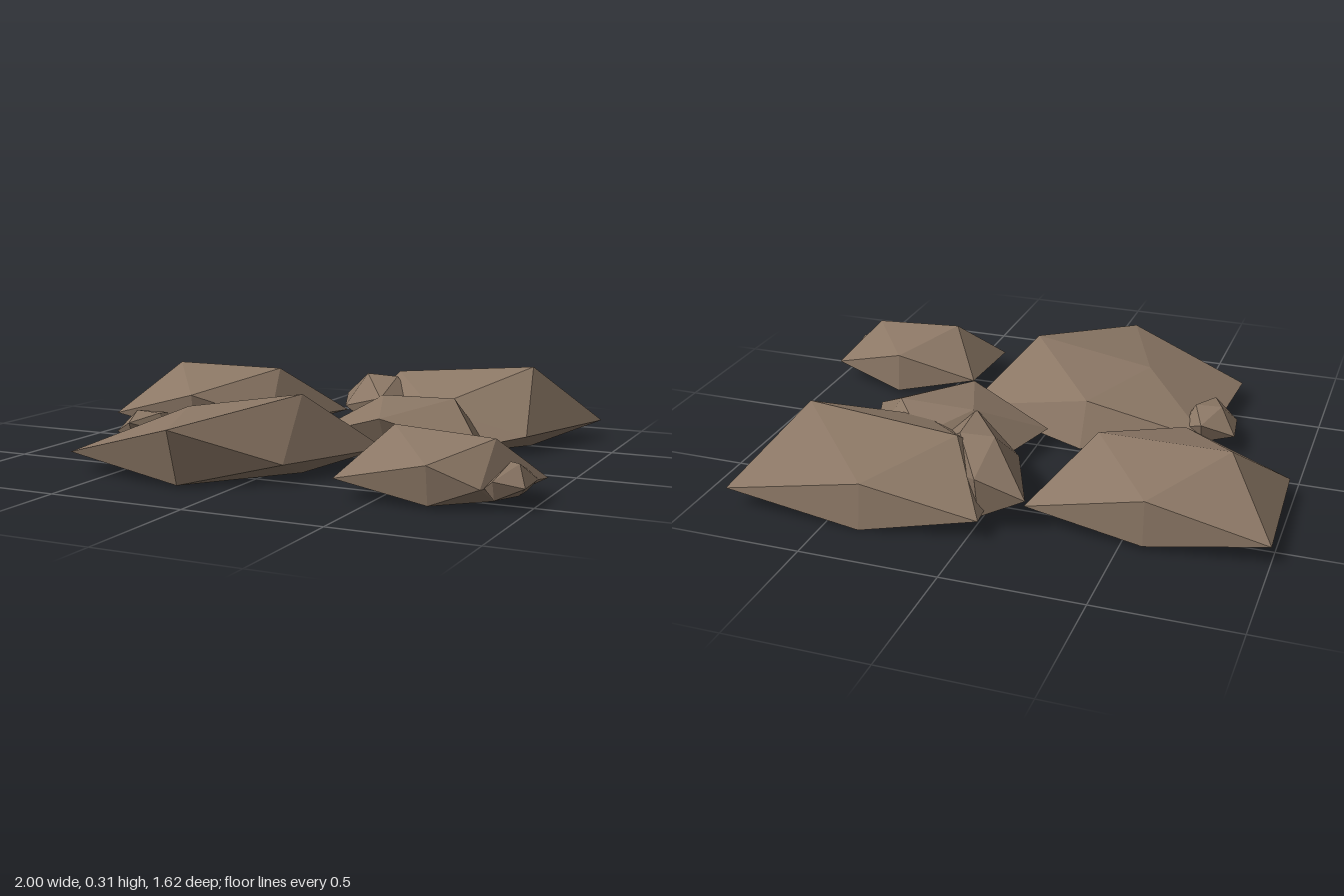
import * as THREE from 'three';

// Icosahedron faces over: ridge L/R, base L/R, front low/top, back low/top,
// corners right-back, right-front, left-back, left-front
const FACES = [
  0, 11, 5, 0, 5, 1, 0, 1, 7, 0, 7, 10, 0, 10, 11, 1, 5, 9, 5, 11, 4, 11, 10, 2, 10, 7, 6, 7, 1, 8,
  3, 9, 4, 3, 4, 2, 3, 2, 6, 3, 6, 8, 3, 8, 9, 4, 9, 5, 2, 4, 11, 6, 2, 10, 8, 6, 7, 9, 8, 1,
];

// A squashed icosahedron boulder with a ridge along x and a flattened base.
// ridge: [xLeft, yLeft, xRight, yRight, z]; front/back: [x, y, z, zAtBase];
// corners: x,z pairs in the order right-back, right-front, left-back, left-front
function boulder({ ridge, front, back, corners, mid = 0.07, base = 0.01 }) {
  const [xl, yl, xr, yr, z] = ridge;
  const points = [
    [xl, yl, z], [xr, yr, z], [xl, base, z], [xr, base, z],
    [front[0], base, front[3]], [front[0], front[1], front[2]],
    [back[0], base, back[3]], [back[0], back[1], back[2]],
    ...corners.map(([x, cz]) => [x, mid, cz]),
  ];
  const geometry = new THREE.BufferGeometry();
  geometry.setAttribute('position', new THREE.Float32BufferAttribute(points.flat(), 3));
  geometry.setIndex(FACES);
  const flat = geometry.toNonIndexed();
  flat.computeVertexNormals();
  return flat;
}

const ROCKS = {
  backLeftRock: {
    ridge: [-0.81, 0.265, -0.34, 0.265, -0.34],
    front: [-0.58, 0.18, -0.03, -0.06], back: [-0.58, 0.18, -0.62, -0.63],
    corners: [[-0.15, -0.59], [-0.31, -0.19], [-1, -0.59], [-0.98, -0.1]], base: 0.015,
  },
  backRightRock: {
    ridge: [0.12, 0.26, 0.68, 0.31, -0.51],
    front: [0.37, 0.17, -0.22, -0.07], back: [0.37, 0.165, -0.785, -0.81],
    corners: [[0.88, -0.8], [0.72, -0.31], [-0.04, -0.74], [0, -0.28]], base: 0,
  },
  middleRock: {
    ridge: [0.18, 0.21, 0.47, 0.215, -0.2],
    front: [0.3, 0.175, 0.12, 0.04], back: [0.31, 0.18, -0.4, -0.42],
    corners: [[0.54, -0.3], [0.66, -0.03 + 0.06], [0.05, -0.3], [-0.04, 0.01]], base: 0.02,
  },
  frontLeftRock: {
    ridge: [-0.34, 0.215, 0.12, 0.29, 0.38],
    front: [-0.17, 0.21, 0.81, 0.75], back: [-0.17, 0.175, 0.08, 0],
    corners: [[0.32, 0.12], [0.13, 0.55], [-0.63, 0.11], [-0.66, 0.67]],
  },
  frontRightRock: {
    ridge: [0.52, 0.235, 0.87, 0.215, 0.5],
    front: [0.7, 0.145, 0.68, 0.66], back: [0.7, 0.16, 0.29, 0.275],
    corners: [[1, 0.35], [0.86, 0.62], [0.39, 0.34], [0.37, 0.665]],
  },
  leaningRock: {
    ridge: [0, 0.25, 0.13, 0.245, -0.46],
    front: [0.18, 0.2, -0.17, -0.22], back: [-0.01, 0.2, -0.69, -0.66],
    corners: [[0.1, -0.55], [0.28, -0.37], [-0.18, -0.66], [-0.05, -0.35]], mid: 0.13, base: 0.04,
  },
  leftPebble: {
    ridge: [-0.66, 0.155, -0.56, 0.15, 0.235],
    front: [-0.61, 0.13, 0.37, 0.34], back: [-0.61, 0.13, 0.1, 0.13],
    corners: [[-0.53, 0.17], [-0.52, 0.25], [-0.73, 0.15], [-0.71, 0.3]], mid: 0.08, base: 0.05,
  },
  rightPebble: {
    ridge: [0.92, 0.145, 0.95, 0.14, 0.5],
    front: [0.9, 0.1, 0.62, 0.6], back: [0.95, 0.1, 0.4, 0.42],
    corners: [[0.985, 0.41], [0.99, 0.565], [0.87, 0.42], [0.87, 0.61]], mid: 0.075, base: 0.035,
  },
};

export function createModel() {
  const group = new THREE.Group();
  group.name = 'rockCluster';
  const stone = new THREE.MeshStandardMaterial({ color: 0x8b7765 });
  stone.name = 'brownStone';
  stone.flatShading = true;
  for (const [name, spec] of Object.entries(ROCKS)) {
    const mesh = new THREE.Mesh(boulder(spec), stone);
    mesh.name = name;
    group.add(mesh);
  }
  return group;
}
